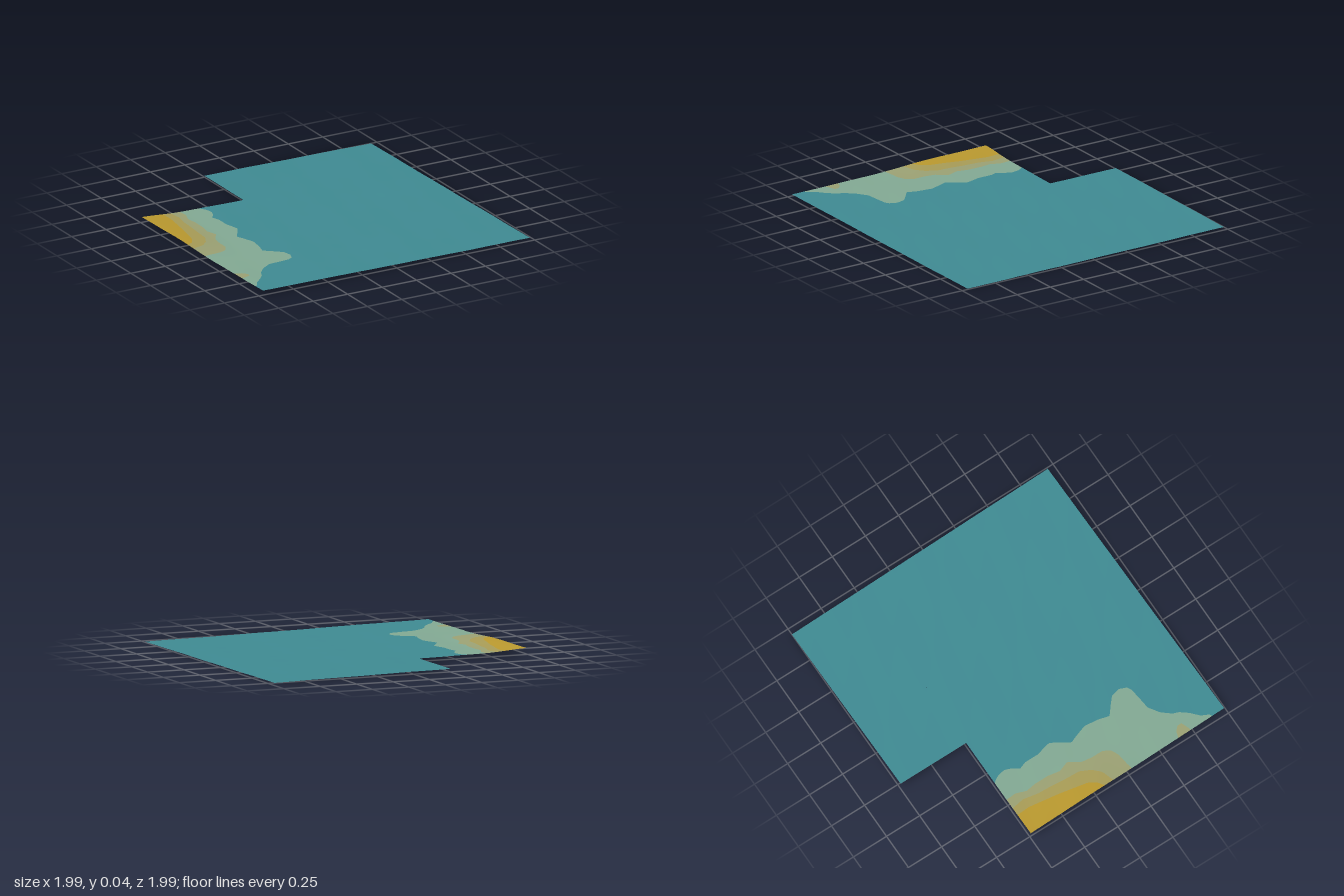
import * as THREE from 'three';

const STEP_Z = -0.49; // where the notch cuts the sheet
const NOTCH_X = -0.26;

// Slightly skewed outer edges
const left = z => -0.986 + 0.021 * z;
const right = z => 0.974 + 0.0178 * z;
const frontEdge = x => 0.973 - 0.018 * x;
const backEdge = x => -0.988 - 0.0125 * x;

// Contour lines as [z, x] points, running from the notch to the front
const goldLine = [[-0.49, -0.845], [-0.4, -0.84], [-0.3, -0.855], [-0.2, -0.87], [-0.1, -0.89], [0, -0.91], [0.05, -0.94], [0.09, -1]];
const ochreLine = [[-0.49, -0.79], [-0.4, -0.775], [-0.3, -0.795], [-0.2, -0.8], [-0.1, -0.81], [0, -0.815], [0.07, -0.85], [0.12, -0.9], [0.15, -1]];
const sandLine = [[-0.49, -0.72], [-0.42, -0.715], [-0.35, -0.74], [-0.28, -0.73], [-0.18, -0.73], [-0.1, -0.745], [-0.03, -0.72],
  [0.05, -0.77], [0.12, -0.78], [0.2, -0.78], [0.25, -0.81], [0.275, -0.87], [0.285, -1],
  [0.64, -1], [0.66, -0.93], [0.69, -0.9], [0.72, -0.9], [0.735, -0.94], [0.745, -1]];
const shoreLine = [[-0.49, -0.585], [-0.47, -0.57], [-0.44, -0.553], [-0.39, -0.545], [-0.35, -0.56], [-0.3, -0.592], [-0.25, -0.575],
  [-0.15, -0.575], [-0.1, -0.56], [-0.05, -0.55], [0, -0.58], [0.07, -0.625], [0.12, -0.605], [0.2, -0.578], [0.3, -0.59],
  [0.37, -0.61], [0.42, -0.55], [0.46, -0.505], [0.52, -0.49], [0.57, -0.51], [0.59, -0.545], [0.6, -0.69], [0.65, -0.765],
  [0.71, -0.815], [0.75, -0.83], [0.8, -0.87], [0.85, -0.925], [0.9, -0.95], [0.92, -1]];

// Interpolates a contour at z, never leaving the sheet
const contour = pts => z => {
  let x = pts[pts.length - 1][1];
  for (let i = 1; i < pts.length; i++) {
    const [z0, x0] = pts[i - 1], [z1, x1] = pts[i];
    if (z <= z1) { x = x0 + (x1 - x0) * Math.max(0, (z - z0) / (z1 - z0)); break; }
  }
  return Math.max(x, left(z));
};

// Gentle slope, a raised bank at the left rear and faint ripples
function height(x, z) {
  const bank = THREE.MathUtils.smoothstep(-x, 0.7, 1) * (1 - THREE.MathUtils.smoothstep(z, -0.1, 0.45));
  const ripple = Math.sin(7 * x + 5 * z) * Math.sin(6 * z - 3 * x + 1) * 0.0012
    + Math.sin(19 * x - 13 * z) * Math.sin(17 * z + 8 * x) * 0.0004;
  return 0.0175 - 0.0125 * x + bank * 0.014 + ripple;
}

// Surface strip between two x limits; place(x, z) bends rows to the outer edge
function strip(name, material, xa, xb, z0, z1, nx, nz, place) {
  const pos = [], nor = [], idx = [], n = new THREE.Vector3(), e = 0.01;
  for (let j = 0; j <= nz; j++) {
    const row = z0 + (z1 - z0) * j / nz;
    for (let i = 0; i <= nx; i++) {
      const x = THREE.MathUtils.lerp(xa(row), xb(row), i / nx), z = place(x, row);
      pos.push(x, height(x, z), z);
      n.set((height(x - e, z) - height(x + e, z)) / (2 * e), 1, (height(x, z - e) - height(x, z + e)) / (2 * e)).normalize();
      nor.push(n.x, n.y, n.z);
      if (i < nx && j < nz) {
        const a = j * (nx + 1) + i, b = a + nx + 1;
        idx.push(a, b, a + 1, a + 1, b, b + 1);
      }
    }
  }
  const g = new THREE.BufferGeometry();
  g.setAttribute('position', new THREE.Float32BufferAttribute(pos, 3));
  g.setAttribute('normal', new THREE.Float32BufferAttribute(nor, 3));
  g.setIndex(idx);
  const mesh = new THREE.Mesh(g, material);
  mesh.name = name;
  return mesh;
}

function paint(name, color) {
  const m = new THREE.MeshStandardMaterial({ color, side: THREE.DoubleSide });
  m.name = name;
  return m;
}

export function createModel() {
  const group = new THREE.Group();
  group.name = 'terrainSheet';
  const water = paint('teal', 0x3f8b93);

  // Main sheet: colour bands from the high bank down to the water
  const mainPlace = (x, row) => STEP_Z + (row - STEP_Z) * (frontEdge(x) - STEP_Z) / (1 - STEP_Z);
  const gold = contour(goldLine), ochre = contour(ochreLine), sand = contour(sandLine), shore = contour(shoreLine);
  const bands = [
    ['highBank', paint('gold', 0xbb9a2f), left, gold, 6],
    ['upperSlope', paint('ochre', 0xa99d57), gold, ochre, 4],
    ['lowerSlope', paint('sand', 0x9ca274), ochre, sand, 4],
    ['shallows', paint('paleGreen', 0x83aa94), sand, shore, 10],
    ['mainWater', water, shore, right, 60],
  ];
  for (const [name, mat, xa, xb, nx] of bands) {
    group.add(strip(name, mat, xa, xb, STEP_Z, 1, nx, 180, mainPlace));
  }

  // Rear extension beside the notch
  const rearPlace = (x, row) => STEP_Z + (STEP_Z - row) / (STEP_Z + 1) * (backEdge(x) - STEP_Z);
  group.add(strip('rearWater', water, () => NOTCH_X, right, -1, STEP_Z, 40, 30, rearPlace));

  // Rest the lowest point on the ground
  group.position.y = -new THREE.Box3().setFromObject(group).min.y;
  return group;
}
